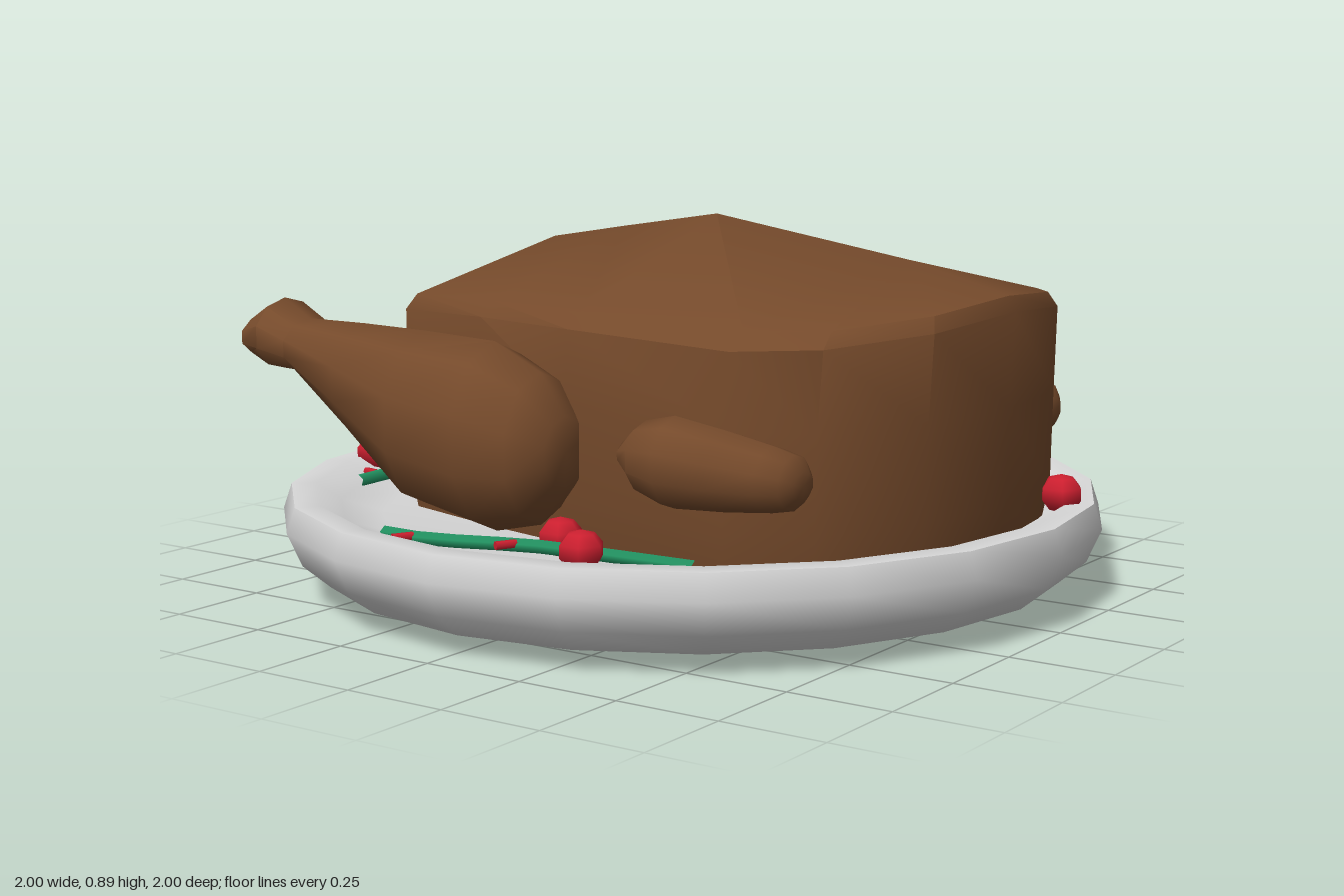
import * as THREE from 'three';
import { toCreasedNormals } from 'three/addons/utils/BufferGeometryUtils.js';

const material = (name, color) => {
  const m = new THREE.MeshStandardMaterial({ color });
  m.name = name;
  return m;
};

// Skin a list of equal-length closed rings and cap both ends
function loft(rings, crease) {
  const n = rings[0].length, pos = rings.flat(2), idx = [];
  const centre = (ring) => {
    const c = [0, 1, 2].map((k) => ring.reduce((s, p) => s + p[k], 0) / n);
    pos.push(...c);
    return pos.length / 3 - 1;
  };
  const first = centre(rings[0]), last = centre(rings[rings.length - 1]);
  const top = (rings.length - 1) * n;
  for (let j = 0; j < n; j++) {
    const k = (j + 1) % n;
    for (let i = 0; i < rings.length - 1; i++) {
      const a = i * n + j, a1 = i * n + k;
      idx.push(a, a1, a + n, a1, a1 + n, a + n);
    }
    idx.push(first, k, j, last, top + j, top + k);
  }
  const g = new THREE.BufferGeometry();
  g.setAttribute('position', new THREE.Float32BufferAttribute(pos, 3));
  g.setIndex(idx);
  return toCreasedNormals(g, crease);
}

// Limb along x from oval sections [x, y, z, ry, rz]
function limb(sections, side) {
  const sides = 10;
  return loft(sections.map(([x, y, z, ry, rz]) =>
    Array.from({ length: sides }, (_, j) => {
      const a = (j / sides) * Math.PI * 2;
      return [x, y + ry * Math.cos(a), side * z + rz * Math.sin(a)];
    })), 0.9);
}

// Body: plan outline rings, drawn in at the shoulder and closed on a ridge
function bodyGeometry() {
  // [x, z, shoulder height, ridge x, ridge y]
  const half = [
    [0.87, 0, 0.72, 0.6, 0.82], [0.83, 0.3, 0.7, 0.6, 0.82],
    [0.69, 0.53, 0.68, 0.6, 0.82], [0.5, 0.605, 0.67, 0.6, 0.82],
    [0, 0.51, 0.67, 0.07, 0.9], [-0.3, 0.45, 0.67, -0.2, 0.857],
    [-0.6, 0.37, 0.66, -0.42, 0.82], [-0.74, 0, 0.66, -0.42, 0.82],
  ];
  const mirrored = half.slice(1, -1).reverse();
  const outline = [...half.map(([x, z, ...r]) => [x, -z, ...r]), ...mirrored];
  const tail = (x, amount) => (x < -0.7 ? amount : 0);
  return loft([
    outline.map(([x, z]) => [x * 0.96 - tail(x, 0.05), 0.16, z * 0.96]),
    outline.map(([x, z]) => [x * 0.985 - tail(x, 0.035), 0.28, z]),
    outline.map(([x, z]) => [x * 0.99 + tail(x, 0.01), 0.5, z]),
    outline.map(([x, z, h]) => [x + tail(x, 0.06), h, z * 0.98]),
    outline.map(([x, z, h, rx]) => [x + (rx - x) * 0.06 + tail(x, 0.06), h + 0.035, z * 0.9]),
    outline.map(([, , , rx, ry]) => [rx, ry, 0]),
  ], 0.75);
}

export function createModel() {
  const model = new THREE.Group();
  const roast = material('roast brown', 0x754a2b);
  const china = material('plate white', 0xd9d9d9);
  const green = material('sprig green', 0x239563);
  const red = material('berry red', 0xcc1f2f);
  const add = (name, geometry, mat) => {
    const mesh = new THREE.Mesh(geometry, mat);
    mesh.name = name;
    model.add(mesh);
    return mesh;
  };

  // Plate
  const profile = [
    [0, 0.005], [0.72, 0.005], [0.9, 0.045], [0.965, 0.1], [1, 0.18], [0.98, 0.24],
    [0.92, 0.24], [0.86, 0.2], [0.76, 0.17], [0, 0.17],
  ].map(([r, y]) => new THREE.Vector2(r, y));
  add('plate', toCreasedNormals(new THREE.LatheGeometry(profile, 20), 0.85), china);

  // Bird
  add('body', bodyGeometry(), roast);
  const leg = [
    [-0.957, 0.585, 0.485, 0.05, 0.085], [-0.89, 0.592, 0.482, 0.088, 0.108],
    [-0.81, 0.568, 0.48, 0.066, 0.1], [-0.6, 0.508, 0.515, 0.133, 0.125],
    [-0.38, 0.44, 0.555, 0.205, 0.15], [-0.15, 0.42, 0.575, 0.22, 0.165],
    [-0.02, 0.405, 0.575, 0.175, 0.14], [0.045, 0.4, 0.57, 0.085, 0.08],
  ];
  const wing = [
    [0.312, 0.45, 0.69, 0.03, 0.05], [0.355, 0.445, 0.69, 0.078, 0.08],
    [0.43, 0.44, 0.69, 0.1, 0.093], [0.53, 0.425, 0.65, 0.088, 0.09],
    [0.62, 0.41, 0.605, 0.072, 0.08], [0.665, 0.405, 0.59, 0.06, 0.068],
    [0.684, 0.4, 0.585, 0.03, 0.04],
  ];
  for (const [name, side] of [['left', -1], ['right', 1]]) {
    const label = side > 0 ? 'front' : 'back';
    add(label + 'Leg', limb(leg, side), roast);
    add(label + 'Wing', limb(wing, side), roast);
  }

  // Herb sprigs: stem points [x, z], twigs [x, z, turn]
  const sprigs = [
    { stem: [[-0.3, -0.79], [-0.17, -0.775], [0.05, -0.72], [0.2, -0.7], [0.45, -0.69]],
      twigs: [[-0.21, -0.805, 1.2], [0.16, -0.73, 0.8], [0.28, -0.665, -1.2]] },
    { stem: [[-0.32, 0.77], [-0.2, 0.77], [0.05, 0.69], [0.2, 0.675], [0.46, 0.66]],
      twigs: [[-0.24, 0.8, 1.1], [0, 0.73, 1.1], [0.18, 0.645, -1]] },
    { stem: [[-0.81, -0.43], [-0.825, -0.32], [-0.79, -0.08], [-0.79, 0.1], [-0.78, 0.35]],
      twigs: [[-0.84, -0.36, -0.5], [-0.78, -0.24, 0.6], [-0.82, -0.11, -0.6],
        [-0.76, 0.08, 0.5], [-0.81, 0.265, -0.2]] },
  ];
  for (const { stem, twigs } of sprigs) {
    const curve = new THREE.CatmullRomCurve3(stem.map(([x, z]) => new THREE.Vector3(x, 0.21, z)));
    add('sprigStem', new THREE.TubeGeometry(curve, 8, 0.016, 5), green);
    for (const [x, z, turn] of twigs) {
      const geometry = new THREE.CylinderGeometry(0.01, 0.01, 0.05, 6).rotateZ(Math.PI / 2);
      const twig = add('sprigTwig', geometry, red);
      twig.position.set(x, 0.215, z);
      twig.rotation.y = turn;
    }
  }

  // Berries
  const berry = new THREE.SphereGeometry(0.054, 6, 5).scale(1, 0.85, 1);
  for (const [x, y, z] of [
    [-0.01, 0.235, -0.845], [0.27, 0.235, -0.775], [0.1, 0.22, -0.625], [0.855, 0.26, -0.285],
    [-0.71, 0.22, -0.28], [-0.87, 0.25, 0.18], [0.065, 0.22, 0.615], [0.225, 0.235, 0.75],
  ]) add('berry', berry, red).position.set(x, y, z);

  return model;
}
